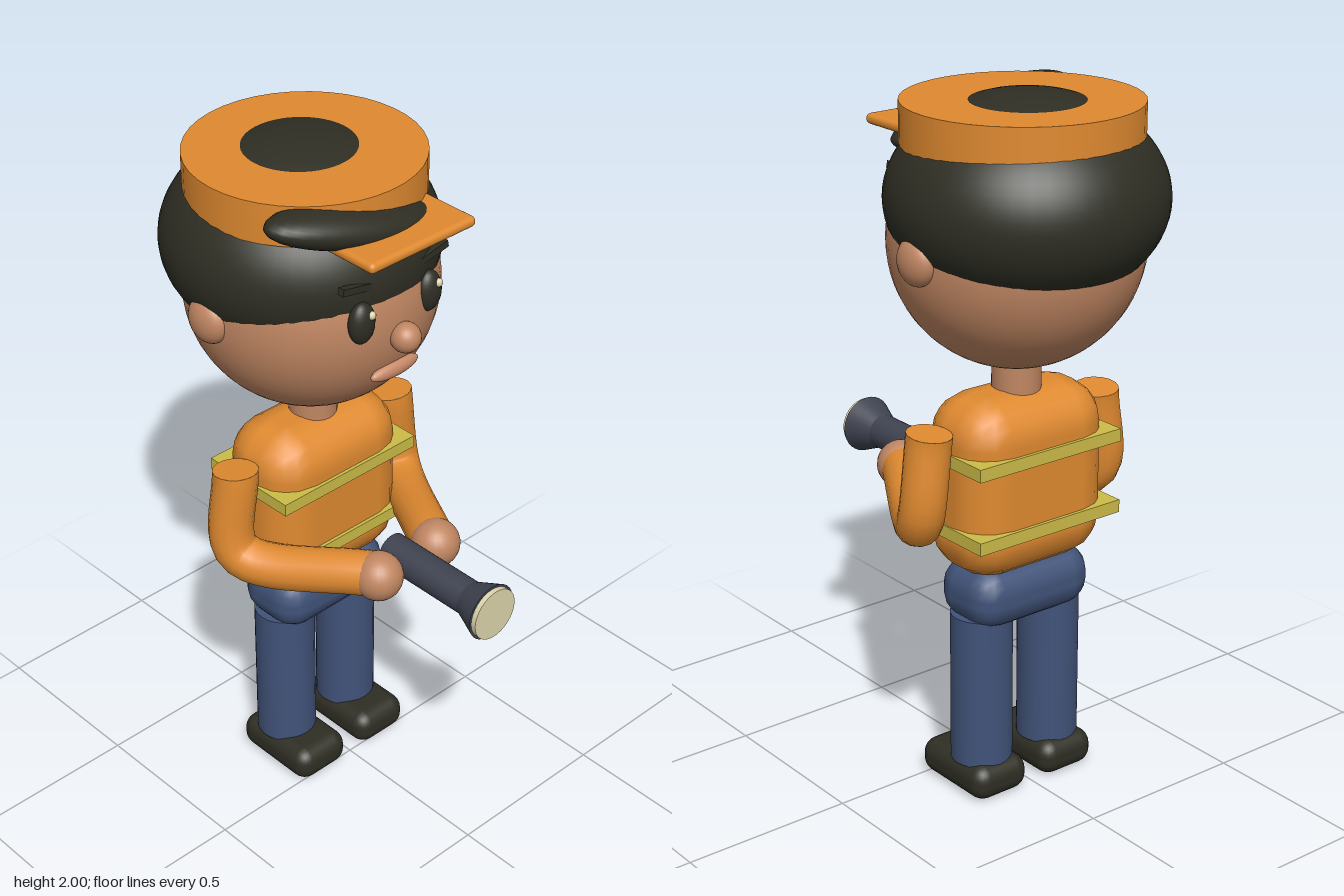
import * as THREE from 'three';
import { RoundedBoxGeometry } from 'three/addons/geometries/RoundedBoxGeometry.js';

const mat = (name, color) => {
  const m = new THREE.MeshStandardMaterial({ color });
  m.name = name;
  return m;
};

export function createModel() {
  const model = new THREE.Group();
  model.name = 'figure';

  const skin = mat('skin', 0xc08662);
  const lip = mat('lip', 0xc88a6a);
  const dark = mat('dark hair and shoes', 0x2e2e24);
  const orange = mat('orange cloth', 0xe08a30);
  const yellow = mat('yellow stripe', 0xccbc48);
  const denim = mat('denim blue', 0x415379);
  const metal = mat('slate metal', 0x3f4350);
  const cream = mat('cream', 0xdcd4ac);

  const add = (name, geometry, material, x, y, z) => {
    const mesh = new THREE.Mesh(geometry, material);
    mesh.name = name;
    mesh.position.set(x, y, z);
    model.add(mesh);
    return mesh;
  };
  const ball = (name, material, [x, y, z], [rx, ry, rz], seg = 24) =>
    add(name, new THREE.SphereGeometry(1, seg, Math.round(seg * 0.75)).scale(rx, ry, rz), material, x, y, z);
  const softBox = (name, material, [x, y, z], [w, h, d], r, seg = 2) =>
    add(name, new RoundedBoxGeometry(w, h, d, seg, r), material, x, y, z);
  const rod = (name, material, [x, y, z], rTop, rBottom, h, seg = 24) =>
    add(name, new THREE.CylinderGeometry(rTop, rBottom, h, seg), material, x, y, z);

  // Head, hair and face
  ball('head', skin, [0, 1.6, -0.15], [0.35, 0.35, 0.345], 48);
  ball('hair', dark, [0, 1.72, -0.19], [0.38, 0.28, 0.377], 48);
  ball('fringe', dark, [-0.07, 1.887, 0.095], [0.275, 0.06, 0.1], 32).rotation.set(0, -0.15, -0.22);
  ball('nose', skin, [0, 1.57, 0.21], [0.042, 0.042, 0.042]);
  ball('mouth', lip, [0, 1.458, 0.17], [0.085, 0.024, 0.02]);

  // Cap, with the hair showing through its top
  rod('capBand', orange, [0, 1.918, -0.17], 0.322, 0.322, 0.115, 40);
  softBox('capBrim', orange, [0, 1.866, 0.175], [0.37, 0.03, 0.2], 0.014);

  // Body
  rod('neck', skin, [0, 1.22, -0.15], 0.068, 0.068, 0.16);
  softBox('torso', orange, [0, 0.928, -0.15], [0.48, 0.515, 0.29], 0.12);
  softBox('hips', denim, [0, 0.605, -0.15], [0.405, 0.18, 0.235], 0.08);
  for (const y of [1.026, 0.815])
    add('vestStripe', new THREE.BoxGeometry(0.49, 0.037, 0.31), yellow, 0, y, -0.15);

  // Paired parts
  for (const s of [-1, 1]) {
    ball('ear', skin, [s * 0.345, 1.6, -0.168], [0.042, 0.066, 0.066]);
    ball('eye', dark, [s * 0.12, 1.645, 0.17], [0.04, 0.06, 0.03]);
    ball('eyeGlint', cream, [s * 0.12 + 0.014, 1.672, 0.194], [0.012, 0.012, 0.01], 12);
    add('eyebrow', new THREE.BoxGeometry(0.105, 0.02, 0.02), dark, s * 0.135, 1.75, 0.164)
      .rotation.z = s * 0.2;

    const armPath = new THREE.CatmullRomCurve3([
      new THREE.Vector3(s * 0.292, 1.11, -0.145),
      new THREE.Vector3(s * 0.308, 0.85, -0.12),
      new THREE.Vector3(s * 0.11, 0.86, 0.22),
    ]);
    add('sleeve', new THREE.TubeGeometry(armPath, 24, 0.064, 16), orange, 0, 0, 0);
    // Flat disc closing the shoulder end of the sleeve
    const cap = add('sleeveEnd', new THREE.CircleGeometry(0.064, 16), orange, s * 0.292, 1.11, -0.145);
    cap.lookAt(cap.position.clone().sub(armPath.getTangent(0)));
    ball('hand', skin, [s * 0.11, 0.86, 0.23], [0.07, 0.07, 0.07]);

    rod('leg', denim, [s * 0.12, 0.32, -0.15], 0.088, 0.088, 0.45);
    softBox('shoe', dark, [s * 0.12, 0.0525, -0.117], [0.185, 0.105, 0.285], 0.045, 3);
  }

  // Torch pointing forward
  for (const [name, material, front, back, z, length] of [
    ['torchBarrel', metal, 0.05, 0.05, 0.32, 0.3],
    ['torchHead', metal, 0.083, 0.05, 0.51, 0.08],
    ['torchLens', cream, 0.076, 0.076, 0.555, 0.02],
  ])
    rod(name, material, [0, 0.86, z], front, back, length, 32).rotation.x = Math.PI / 2;

  return model;
}
